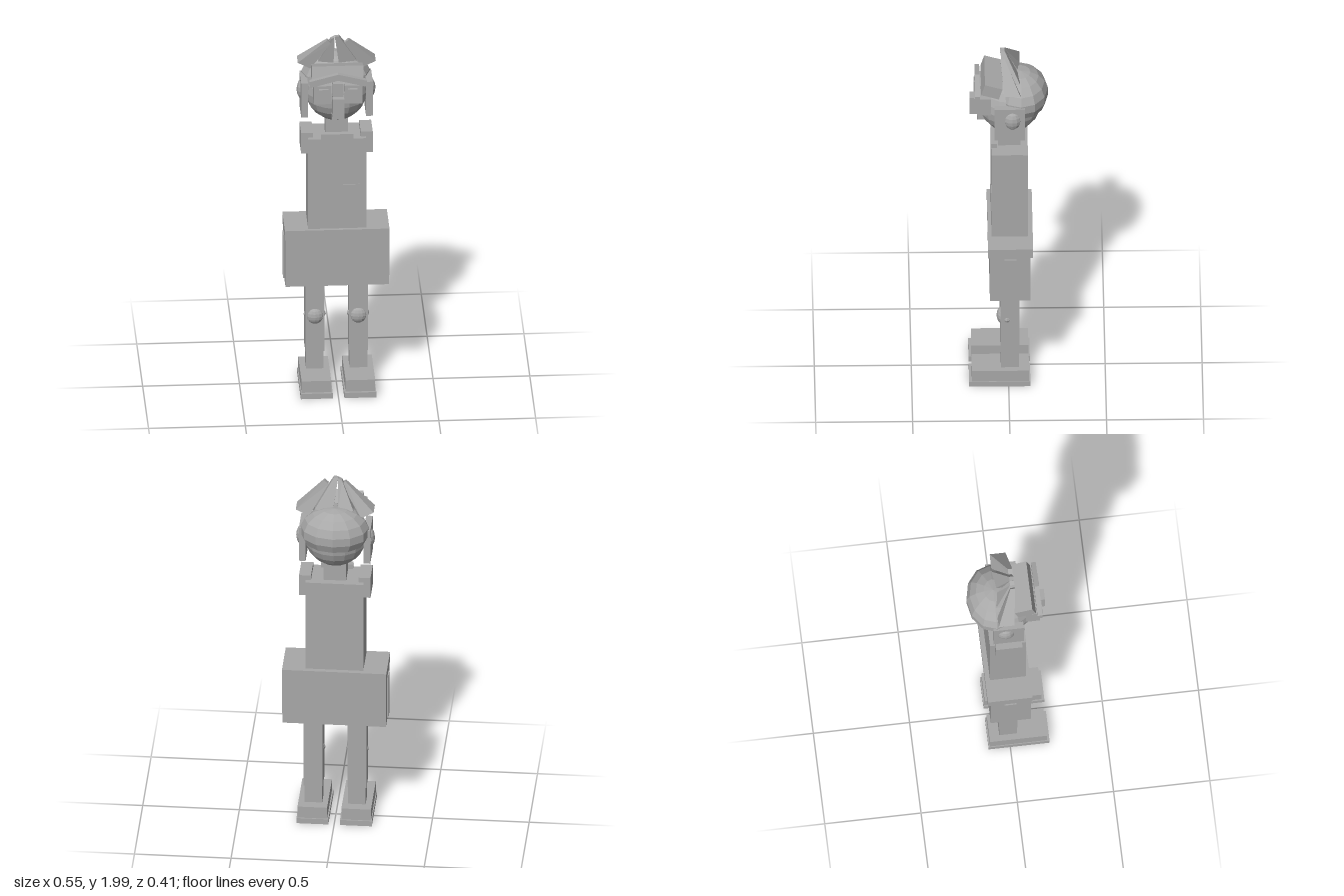
import * as THREE from 'three';

export function createModel() {
  const root = new THREE.Group();
  const grey = new THREE.MeshStandardMaterial({ color: 0xa8a8a8, flatShading: true });
  grey.name = 'plain grey';

  const add = (name, geometry) => {
    const mesh = new THREE.Mesh(geometry, grey);
    mesh.name = name;
    root.add(mesh);
    return mesh;
  };
  // Box given by its limits on each axis
  const box = (name, x0, x1, y0, y1, z0, z1) => {
    const m = add(name, new THREE.BoxGeometry(x1 - x0, y1 - y0, z1 - z0));
    m.position.set((x0 + x1) / 2, (y0 + y1) / 2, (z0 + z1) / 2);
    return m;
  };
  const pair = (name, x0, x1, y0, y1, z0, z1) => {
    box(name + 'Left', x0, x1, y0, y1, z0, z1);
    box(name + 'Right', -x1, -x0, y0, y1, z0, z1);
  };
  const ball = (name, x, y, z, rx, ry, rz, w = 12, h = 8) => {
    const m = add(name, new THREE.SphereGeometry(1, w, h).scale(rx, ry, rz));
    m.position.set(x, y, z);
    return m;
  };

  // Shoes and legs
  pair('sole', 0.03, 0.195, 0.005, 0.035, -0.112, 0.204);
  pair('shoe', 0.037, 0.19, 0.035, 0.1, -0.105, 0.19);
  pair('sock', 0.067, 0.158, 0.1, 0.2, -0.053, 0.04);
  pair('leg', 0.064, 0.162, 0.2, 0.6, -0.056, 0.042);
  for (const s of [-1, 1]) {
    const side = s > 0 ? 'Left' : 'Right';
    ball('kneeCap' + side, s * 0.112, 0.4, 0.035, 0.044, 0.044, 0.027);
    ball('kneeJoint' + side, s * 0.112, 0.4, 0.008, 0.058, 0.033, 0.033);
  }

  // Shorts, belt and side stripes
  box('shorts', -0.268, 0.268, 0.6, 0.87, -0.11, 0.098);
  box('belt', -0.271, 0.269, 0.87, 0.923, -0.125, 0.107);
  pair('sideStripe', 0.266, 0.275, 0.615, 0.86, -0.04, 0.022);

  // Torso
  box('torso', -0.15, 0.15, 0.923, 1.435, -0.1, 0.088);
  box('chestTag', 0.03, 0.115, 1.06, 1.175, 0.086, 0.093);
  box('collar', -0.083, 0.083, 1.43, 1.462, 0.06, 0.089);
  pair('shoulder', 0.123, 0.185, 1.345, 1.462, -0.073, 0.065);
  box('neck', -0.058, 0.058, 1.43, 1.56, -0.063, 0.053);

  // Head
  ball('head', 0, 1.68, -0.008, 0.163, 0.165, 0.163, 16, 12);
  pair('earFlap', 0.15, 0.185, 1.555, 1.75, -0.085, 0.072);
  for (const s of [-1, 1]) {
    ball('ear' + (s > 0 ? 'Left' : 'Right'), s * 0.172, 1.675, -0.02, 0.032, 0.056, 0.045);
  }

  // Hair cap, cut flat underneath
  const cut = 0.667 * Math.PI;
  const profile = [new THREE.Vector2(0, Math.cos(cut))];
  for (let i = 6; i >= 0; i--) {
    const a = (cut * i) / 6;
    profile.push(new THREE.Vector2(Math.sin(a), Math.cos(a)));
  }
  const cap = add('hairCap', new THREE.LatheGeometry(profile, 12).scale(0.18, 0.13, 0.141));
  cap.position.set(0, 1.735, -0.066);

  // Fringe, tipped up toward the front
  const fringe = box('fringe', -0.133, 0.133, 1.792, 1.858, 0.037, 0.132);
  fringe.position.set(0, 1.824, 0.086);
  fringe.rotation.x = -0.3;

  // Brows sloping down from the middle
  for (const s of [-1, 1]) {
    const g = new THREE.BoxGeometry(0.148, 0.035, 0.025);
    const p = g.attributes.position;
    for (let i = 0; i < p.count; i++) p.setY(i, p.getY(i) - s * p.getX(i) * 0.26);
    add('brow' + (s > 0 ? 'Left' : 'Right'), g).position.set(s * 0.074, 1.807, 0.16);
  }

  // Eyes, nose and mouth
  pair('eyeSocket', 0.033, 0.125, 1.672, 1.775, 0.09, 0.163);
  pair('eye', 0.05, 0.1, 1.698, 1.76, 0.15, 0.178);
  box('noseBridge', -0.028, 0.028, 1.71, 1.79, 0.12, 0.17);
  box('nose', -0.03, 0.03, 1.615, 1.715, 0.12, 0.2);
  box('mouth', -0.032, 0.032, 1.58, 1.608, 0.1, 0.16);

  // Hair blades: narrow tips meeting at the top, wide ends below
  const blade = (name, tip, base) => {
    const g = new THREE.BoxGeometry(1, 1, 1);
    const p = g.attributes.position;
    for (let i = 0; i < p.count; i++) {
      const k = p.getX(i) < 0 ? 0 : 1;
      const front = p.getZ(i) > 0;
      const [x, y] = p.getY(i) > 0 ? tip[k] : base[k];
      const z = p.getY(i) > 0 ? (front ? 0.041 : 0.018) : (front ? 0.022 : -0.06);
      p.setXYZ(i, x, y, z);
    }
    g.computeVertexNormals();
    add(name, g);
  };
  blade('hairBladeOuterRight', [[-0.048, 1.98], [-0.03, 1.96]], [[-0.2, 1.845], [-0.135, 1.81]]);
  blade('hairBladeInnerRight', [[-0.03, 1.985], [-0.01, 1.995]], [[-0.095, 1.85], [-0.015, 1.84]]);
  blade('hairBladeInnerLeft', [[-0.01, 1.998], [0.013, 1.998]], [[0.012, 1.84], [0.105, 1.85]]);
  blade('hairBladeOuterLeft', [[0.04, 1.96], [0.062, 1.98]], [[0.135, 1.81], [0.203, 1.845]]);

  return root;
}
